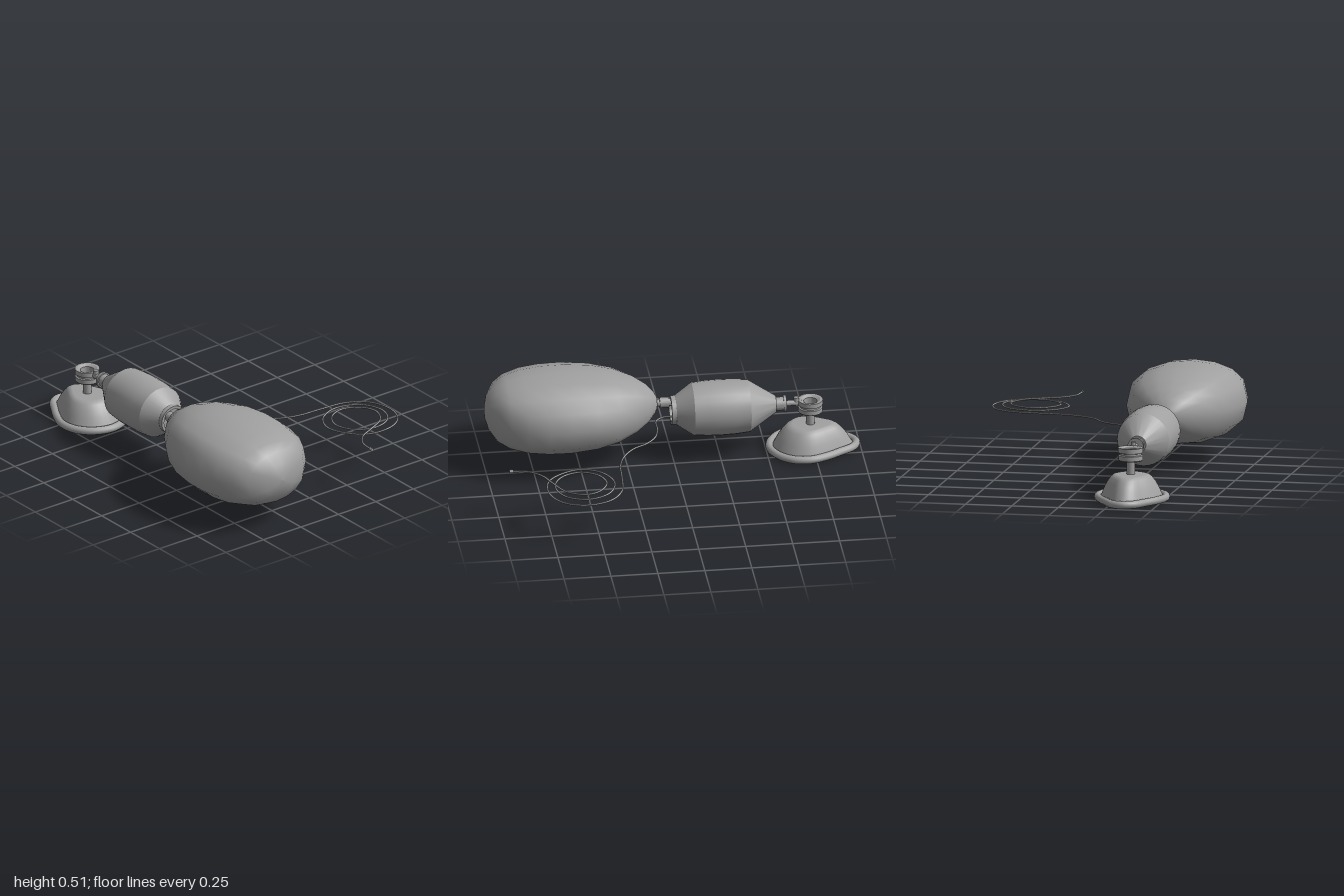
import * as THREE from 'three';
import { toCreasedNormals } from 'three/addons/utils/BufferGeometryUtils.js';

const rubber = new THREE.MeshStandardMaterial({ color: 0xa0a0a0 });
rubber.name = 'grey rubber';
const shell = new THREE.MeshStandardMaterial({ color: 0xa0a0a0, side: THREE.DoubleSide });
shell.name = 'grey rubber, open shell';

// Skin a list of closed rings, sharing vertices so the result is smooth
function loft(rings) {
  const n = rings[0].length, index = [];
  for (let i = 0; i < rings.length - 1; i++) {
    for (let j = 0; j < n; j++) {
      const a = i * n + j, b = i * n + (j + 1) % n;
      index.push(a, b, b + n, a, b + n, a + n);
    }
  }
  const g = new THREE.BufferGeometry().setFromPoints(rings.flat());
  g.setIndex(index);
  g.computeVertexNormals();
  return g;
}

// Turned part with crisp steps; profile is [radius, height] from bottom to top
function turned(profile, segments = 28) {
  const g = new THREE.LatheGeometry(profile.map(([r, y]) => new THREE.Vector2(r, y)), segments);
  return toCreasedNormals(g, 0.4);
}

export function createModel() {
  const model = new THREE.Group();
  model.name = 'bagValveMask';
  const add = (name, geometry, x = 0, y = 0, z = 0, material = rubber) => {
    const m = new THREE.Mesh(geometry, material);
    m.name = name;
    m.position.set(x, y, z);
    model.add(m);
    return m;
  };
  // Turned part lying along z, its profile running backwards
  const addLying = (name, profile, x, y) => {
    const m = add(name, turned(profile), x, y, 0);
    m.rotation.x = -Math.PI / 2;
  };

  // Large reservoir bag: 16-sided flattened sections [z, half width, half height]
  const sections = [
    [0.08, 0.03, 0.03], [0.09, 0.055, 0.05], [0.13, 0.11, 0.095], [0.2, 0.178, 0.138],
    [0.3, 0.245, 0.175], [0.42, 0.29, 0.197], [0.56, 0.311, 0.207], [0.68, 0.311, 0.205],
    [0.79, 0.29, 0.195], [0.88, 0.245, 0.175], [0.94, 0.185, 0.145], [0.98, 0.1, 0.09],
    [0.995, 0.035, 0.035], [0.998, 0.0005, 0.0005],
  ];
  add('reservoirBag', loft(sections.map(([z, w, h]) =>
    Array.from({ length: 16 }, (_, j) => {
      const a = j * Math.PI / 8, s = Math.sin(a);
      return new THREE.Vector3(w * Math.cos(a), Math.sign(s) * h * Math.abs(s) ** 0.75, z);
    }))), -0.367, 0.308, 0);

  // Neck joining the reservoir to the squeeze bag
  addLying('reservoirNeck', [
    [0, -0.1], [0.02, -0.1], [0.02, -0.065], [0.028, -0.065], [0.028, -0.015],
    [0.022, -0.015], [0.022, 0.04],
  ], -0.367, 0.305);

  // Squeeze bag with a recessed end and a narrow outlet collar
  addLying('squeezeBag', [
    [0, 0.025], [0.062, 0.025], [0.062, -0.01], [0.078, -0.01], [0.078, 0.015],
    [0.14, 0.105], [0.147, 0.18], [0.149, 0.25], [0.147, 0.33], [0.14, 0.405],
    [0.045, 0.55], [0.036, 0.55],
  ], -0.336, 0.273);
  addLying('outletCollar', [
    [0.036, 0.535], [0.036, 0.59], [0.043, 0.59], [0.043, 0.605], [0.015, 0.605],
    [0.015, 0.69],
  ], -0.336, 0.273);

  // Valve: grooved cup with a hollow top, on a stem above the mask
  add('valveCup', turned([
    [0, 0.218], [0.06, 0.218], [0.065, 0.223], [0.065, 0.247], [0.057, 0.25],
    [0.057, 0.26], [0.066, 0.263], [0.066, 0.289], [0.052, 0.289], [0.036, 0.28],
    [0.036, 0.24], [0, 0.24],
  ]), -0.336, 0, -0.735);
  add('valveStem', new THREE.CylinderGeometry(0.023, 0.023, 0.1, 20), -0.336, 0.18, -0.735);
  add('valvePort', new THREE.CylinderGeometry(0.014, 0.014, 0.045, 16), -0.336, 0.283, -0.66);

  // Teardrop mask outline [half width, z offset], from the nose to the chin
  const half = [[0.055, -0.22], [0.105, -0.145], [0.151, -0.065], [0.179, 0.02],
    [0.165, 0.11], [0.1, 0.185]];
  const outline = [
    [0, -0.244], ...half.map(([x, z]) => [-x, z]),
    [0, 0.218], ...half.slice().reverse(),
  ].map(([x, z]) => new THREE.Vector3(x, 0, z));
  const curve = new THREE.CatmullRomCurve3(outline, true);

  // Mask rim and hollow dome
  add('maskRim', new THREE.TubeGeometry(curve, 64, 0.021, 12, true), -0.336, 0.021, -0.735);
  const around = curve.getPoints(40).slice(0, 40);
  const dome = [[0.02, 0.93], [0.045, 0.87], [0.075, 0.8], [0.105, 0.71], [0.13, 0.61],
    [0.142, 0.53], [0.146, 0.44], [0.147, 0.1]];
  add('maskDome', loft(dome.map(([y, s]) =>
    around.map((p) => new THREE.Vector3(p.x * s, y, p.z * s)))), -0.336, 0, -0.735, shell);

  // Oxygen tube: wanders out, coils twice and ends in a small connector
  const route = [
    [-0.29, -0.01], [-0.285, 0.06], [-0.245, 0.098], [-0.155, 0.103], [-0.065, 0.125],
    [0.005, 0.18], [0.055, 0.255], [0.135, 0.315], [0.24, 0.35], [0.375, 0.36],
    [0.53, 0.38], [0.63, 0.45], [0.67, 0.57], [0.642, 0.68], [0.57, 0.745], [0.465, 0.768],
    [0.365, 0.742], [0.288, 0.65], [0.265, 0.56], [0.315, 0.46], [0.435, 0.407],
    [0.56, 0.45], [0.618, 0.56], [0.588, 0.665], [0.52, 0.715], [0.43, 0.722],
    [0.345, 0.67], [0.31, 0.575], [0.355, 0.485], [0.45, 0.45], [0.545, 0.5],
    [0.575, 0.58], [0.53, 0.675], [0.425, 0.735], [0.335, 0.78], [0.28, 0.85], [0.268, 0.935],
  ].map(([x, z], i) => new THREE.Vector3(x, 0.259 + Math.max(0, i - 13) * 0.0008, z));
  add('oxygenTube', new THREE.TubeGeometry(new THREE.CatmullRomCurve3(route), 240, 0.005, 8));
  const tip = add('tubeConnector', new THREE.CylinderGeometry(0.009, 0.009, 0.018, 12),
    0.268, 0.278, 0.937);
  tip.rotation.x = Math.PI / 2;

  return model;
}
